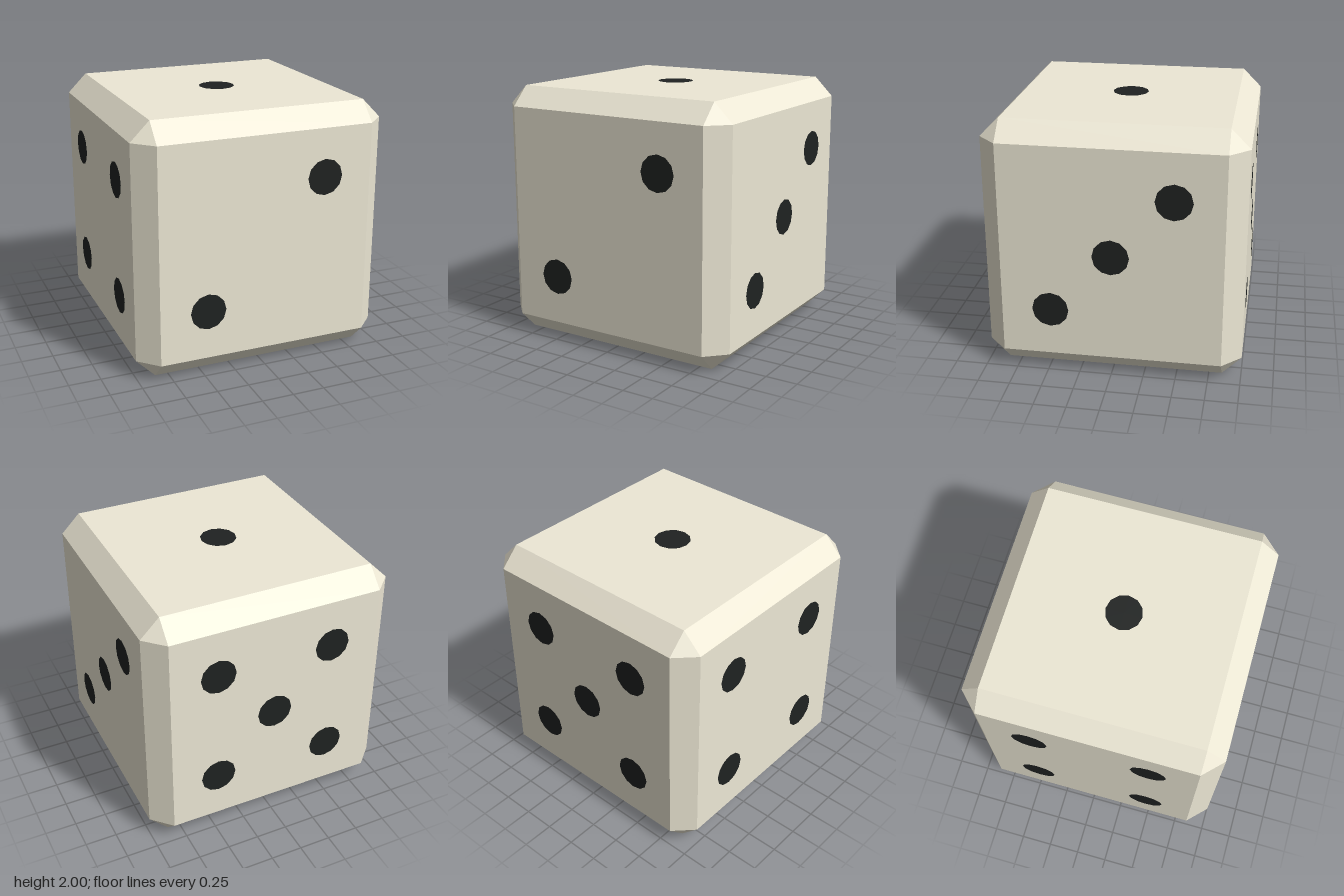
import * as THREE from 'three';
import { ConvexGeometry } from 'three/addons/geometries/ConvexGeometry.js';

const HALF = 1;        // half the side of the cube
const FLAT = 0.85;     // half the side of each flat face inside the chamfers
const PIP_RADIUS = 0.142;
const D = 0.47;        // pip spacing from the face centre

// Pip layouts, in face coordinates (u right, v up)
const diagonal = [[D, D], [-D, -D]];
const corners = [...diagonal, [-D, D], [D, -D]];
const centre = [[0, 0]];
const faces = [
  { name: 'topPips', rotation: [-Math.PI / 2, 0, 0], pips: centre },
  { name: 'frontPips', rotation: [0, 0, 0], pips: diagonal },
  { name: 'leftPips', rotation: [0, Math.PI / 2, 0], pips: [...diagonal, ...centre] },
  { name: 'rightPips', rotation: [0, -Math.PI / 2, 0], pips: corners },
  { name: 'backPips', rotation: [0, Math.PI, 0], pips: [...corners, ...centre] },
  { name: 'bottomPips', rotation: [Math.PI / 2, 0, 0], pips: [...corners, [-D, 0], [D, 0]] },
];

// Cube with chamfered edges and triangular corners
function chamferedCube() {
  const points = [];
  for (const x of [-1, 1]) for (const y of [-1, 1]) for (const z of [-1, 1]) {
    points.push(
      new THREE.Vector3(x * HALF, y * FLAT, z * FLAT),
      new THREE.Vector3(x * FLAT, y * HALF, z * FLAT),
      new THREE.Vector3(x * FLAT, y * FLAT, z * HALF),
    );
  }
  return new ConvexGeometry(points);
}

export function createModel() {
  const model = new THREE.Group();
  model.name = 'die';
  const ivory = new THREE.MeshStandardMaterial({ color: 0xede8d5, flatShading: true });
  const black = new THREE.MeshStandardMaterial({ color: 0x1f2221, flatShading: true });

  const body = new THREE.Mesh(chamferedCube(), ivory);
  body.name = 'body';
  body.position.y = HALF;
  model.add(body);

  // Twelve-sided pips, a hair above each face
  const pipGeometry = new THREE.CircleGeometry(PIP_RADIUS, 12);
  for (const { name, rotation, pips } of faces) {
    const face = new THREE.Group();
    face.name = name;
    face.position.y = HALF;
    face.rotation.set(...rotation);
    for (const [u, v] of pips) {
      const pip = new THREE.Mesh(pipGeometry, black);
      pip.name = 'pip';
      pip.position.set(u, v, HALF + 0.002);
      face.add(pip);
    }
    model.add(face);
  }
  return model;
}
